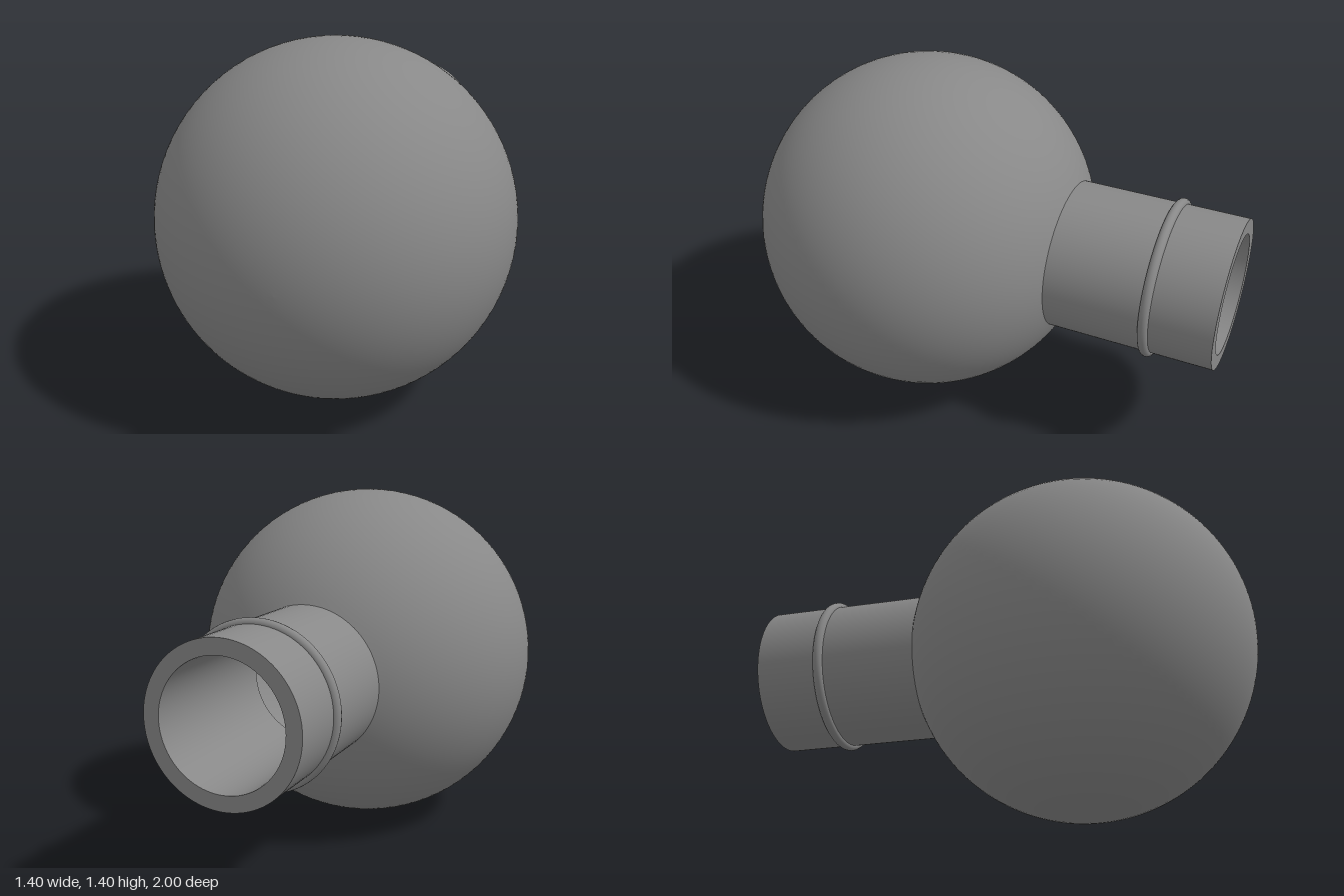
import * as THREE from 'three';

const SEGMENTS = 96;
const R = 0.7, WALL = 0.06, NECK = 0.3, BORE = NECK - WALL;
const MOUTH = 1.3; // distance from the bulb centre to the mouth

// Arc of a sphere profile between two angles measured from the far pole
function arc(radius, from, to, steps = 64) {
  return Array.from({ length: steps + 1 }, (_, i) => {
    const a = from + (to - from) * i / steps;
    return new THREE.Vector2(Math.max(0, radius * Math.sin(a)), -radius * Math.cos(a));
  });
}

export function createModel() {
  const model = new THREE.Group();
  model.name = 'roundFlask';
  const grey = new THREE.MeshStandardMaterial({ color: 0x888888 });
  grey.name = 'grey';

  const add = (name, geometry) => {
    const mesh = new THREE.Mesh(geometry, grey);
    mesh.name = name;
    model.add(mesh);
    return mesh;
  };
  const lathe = (name, points) => add(name, new THREE.LatheGeometry(points, SEGMENTS));
  const line = (...pairs) => pairs.map(([r, y]) => new THREE.Vector2(r, y));

  // Heights at which the neck and bore meet the bulb's outer and inner skins
  const inner = R - WALL;
  const outerJoin = Math.sqrt(R * R - NECK * NECK);
  const innerJoin = Math.sqrt(inner * inner - BORE * BORE);

  // Hollow bulb, separate pieces keep the joins sharp
  lathe('bulb', arc(R, 0, Math.PI - Math.asin(NECK / R)));
  lathe('bulbInside', arc(inner, Math.PI - Math.asin(BORE / inner), 0));

  // Open tubular neck with a flat lip
  lathe('neck', line([NECK, outerJoin], [NECK, MOUTH]));
  lathe('neckLip', line([NECK, MOUTH], [BORE, MOUTH]));
  lathe('neckBore', line([BORE, MOUTH], [BORE, innerJoin]));

  // Raised bead around the neck
  const bead = add('neckBead', new THREE.TorusGeometry(NECK, 0.02, 16, SEGMENTS));
  bead.rotation.x = Math.PI / 2;
  bead.position.y = 1.035;

  // Point the neck backwards and rest the bulb on the ground
  model.rotation.x = -Math.PI / 2;
  model.position.set(0, R, 0.3);
  const root = new THREE.Group();
  root.name = 'flask';
  root.add(model);
  return root;
}
